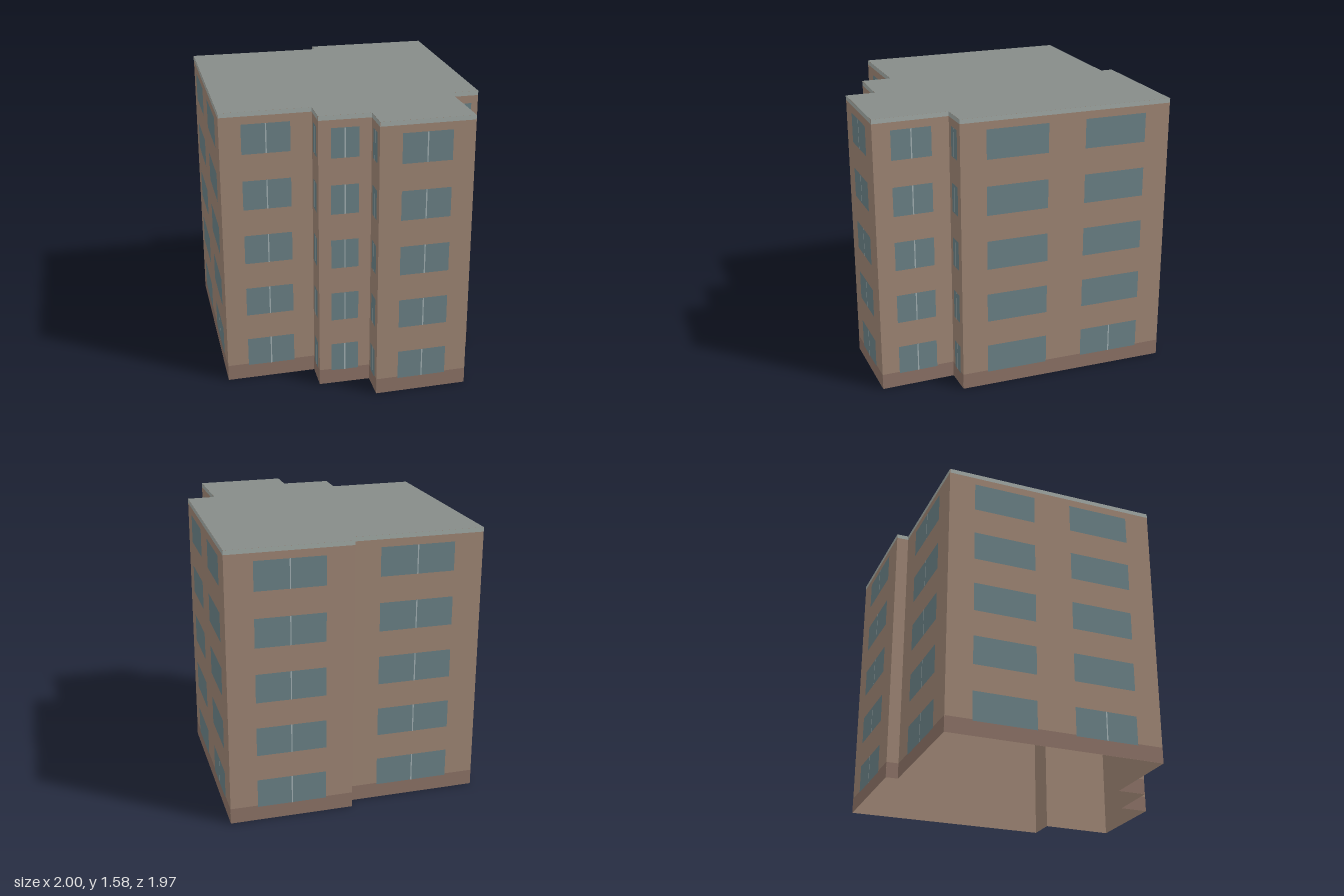
import * as THREE from 'three';

const paint = (color, side = THREE.FrontSide) => new THREE.MeshStandardMaterial({ color, side });

// Footprint corners as [x, z], running so that the outside is (-dz, dx)
const FOOTPRINT = [
  [-1, 0.05], [-0.18, 0.985], [0.188, 0.65], [0.297, 0.777], [0.512, 0.588], [0.62, 0.712],
  [1, 0.365], [0.72, 0.052], [0.84, -0.06], [0.055, -0.985], [-0.475, -0.513], [-0.43, -0.46],
];
// Window spans along a wall, as fractions of its length
const SINGLE = [[0.235, 0.765]];
const WIDE = [[0.22, 0.78]];
const PAIR = [[0.12, 0.41], [0.587, 0.88]];
const WALL_WINDOWS = [
  PAIR, SINGLE, SINGLE, SINGLE, SINGLE, SINGLE,
  SINGLE, SINGLE, PAIR, WIDE, [], WIDE,
];

const HEIGHT = 1.58, PLINTH_TOP = 0.09, FASCIA_BOTTOM = 1.555;
const FLOORS = 5, FLOOR_HEIGHT = 0.316, SILL = 0.082, WINDOW_HEIGHT = 0.166;

export function createModel() {
  const model = new THREE.Group();
  model.name = 'apartmentBlock';
  const wall = paint(0x9f8675, THREE.DoubleSide), roof = paint(0x868c89, THREE.DoubleSide);
  const plinth = paint(0x8d7367), fascia = paint(0xa3aba7);
  const glass = paint(0x6b8287), frame = paint(0xa3b1b4);

  // Flat roof closing the top of the hollow shell
  const shape = new THREE.Shape(FOOTPRINT.map(([x, z]) => new THREE.Vector2(x, -z)));
  const roofMesh = new THREE.Mesh(new THREE.ShapeGeometry(shape), roof);
  roofMesh.name = 'roof';
  roofMesh.rotation.x = -Math.PI / 2;
  roofMesh.position.y = HEIGHT;
  model.add(roofMesh);

  // Each wall is laid out in its own plane: shell, plinth, fascia, windows
  FOOTPRINT.forEach(([x, z], i) => {
    const [nx, nz] = FOOTPRINT[(i + 1) % FOOTPRINT.length];
    const length = Math.hypot(nx - x, nz - z);
    const side = new THREE.Group();
    side.name = `facade${i + 1}`;
    side.position.set(x, 0, z);
    side.rotation.y = Math.atan2(z - nz, nx - x);
    model.add(side);

    const panel = (name, x0, x1, y0, y1, offset, material) => {
      const mesh = new THREE.Mesh(new THREE.PlaneGeometry(x1 - x0, y1 - y0), material);
      mesh.name = name;
      mesh.position.set((x0 + x1) / 2, (y0 + y1) / 2, offset);
      side.add(mesh);
    };
    panel('wall', 0, length, 0, HEIGHT, 0, wall);
    panel('plinth', 0, length, 0, PLINTH_TOP, 0.001, plinth);
    panel('fascia', 0, length, FASCIA_BOTTOM, HEIGHT, 0.001, fascia);

    const spans = WALL_WINDOWS[i];
    for (let floor = 0; floor < FLOORS; floor++) {
      const y0 = SILL + floor * FLOOR_HEIGHT, y1 = y0 + WINDOW_HEIGHT;
      spans.forEach(([a, b], k) => {
        panel('window', a * length, b * length, y0, y1, 0.0025, glass);
        // Paired walls only have a split opening at ground level
        if (spans.length === 1 || (floor === 0 && k === 1)) {
          const middle = ((a + b) / 2) * length;
          panel('mullion', middle - 0.0035, middle + 0.0035, y0, y1, 0.004, frame);
        }
      });
    }
  });
  return model;
}
